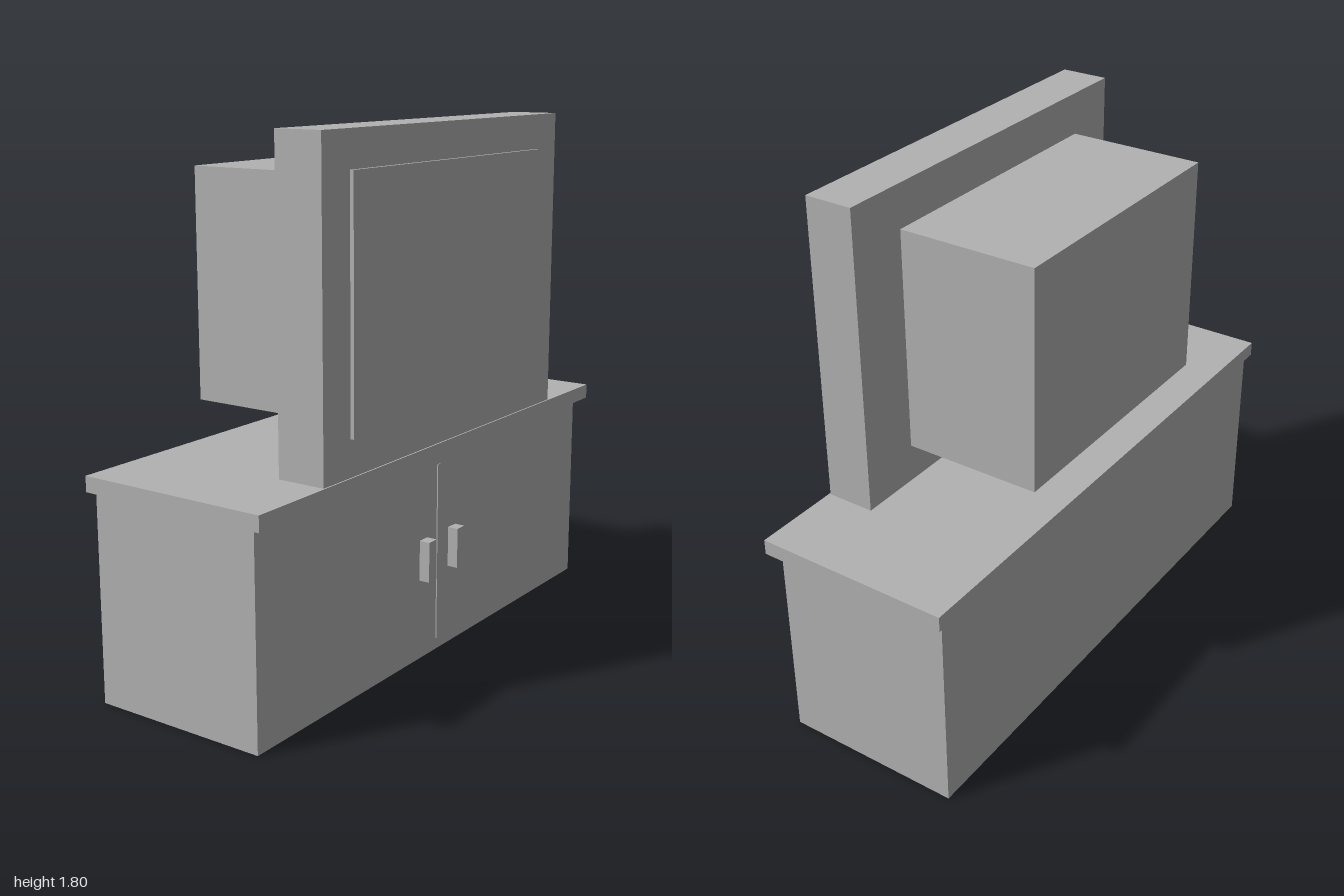
import * as THREE from 'three';

export function createModel() {
  const model = new THREE.Group();
  model.name = 'televisionOnCabinet';
  const grey = new THREE.MeshStandardMaterial({ color: 0xb2b2b2 });
  grey.name = 'plain grey';

  // Box given by its extents along each axis
  function box(name, [x0, x1], [y0, y1], [z0, z1], parent = model) {
    const mesh = new THREE.Mesh(new THREE.BoxGeometry(x1 - x0, y1 - y0, z1 - z0), grey);
    mesh.position.set((x0 + x1) / 2, (y0 + y1) / 2, (z0 + z1) / 2);
    mesh.name = name;
    parent.add(mesh);
    return mesh;
  }

  // Cabinet with an overhanging top
  const cabinet = new THREE.Group();
  cabinet.name = 'cabinet';
  model.add(cabinet);
  box('cabinetBody', [-0.972, 0.972], [0, 0.7], [-0.329, 0.293], cabinet);
  box('cabinetTop', [-1, 1], [0.7, 0.752], [-0.343, 0.335], cabinet);

  // Door seam and a handle on each side of it
  box('doorSeam', [-0.008, 0.008], [0.04, 0.66], [0.285, 0.297], cabinet);
  for (const [side, s] of [['left', 1], ['right', -1]]) {
    const xs = [s * 0.066, s * 0.111].sort((a, b) => a - b);
    box(side + 'Handle', xs, [0.28, 0.42], [0.293, 0.331], cabinet);
  }

  // Television: front housing, raised screen and separate rear housing
  const television = new THREE.Group();
  television.name = 'television';
  model.add(television);
  box('frontHousing', [-0.692, 0.692], [0.752, 1.796], [0.162, 0.33], television);
  box('screen', [-0.555, 0.555], [0.873, 1.677], [0.33, 0.343], television);
  box('rearHousing', [-0.485, 0.485], [0.892, 1.656], [-0.329, 0.153], television);

  return model;
}
